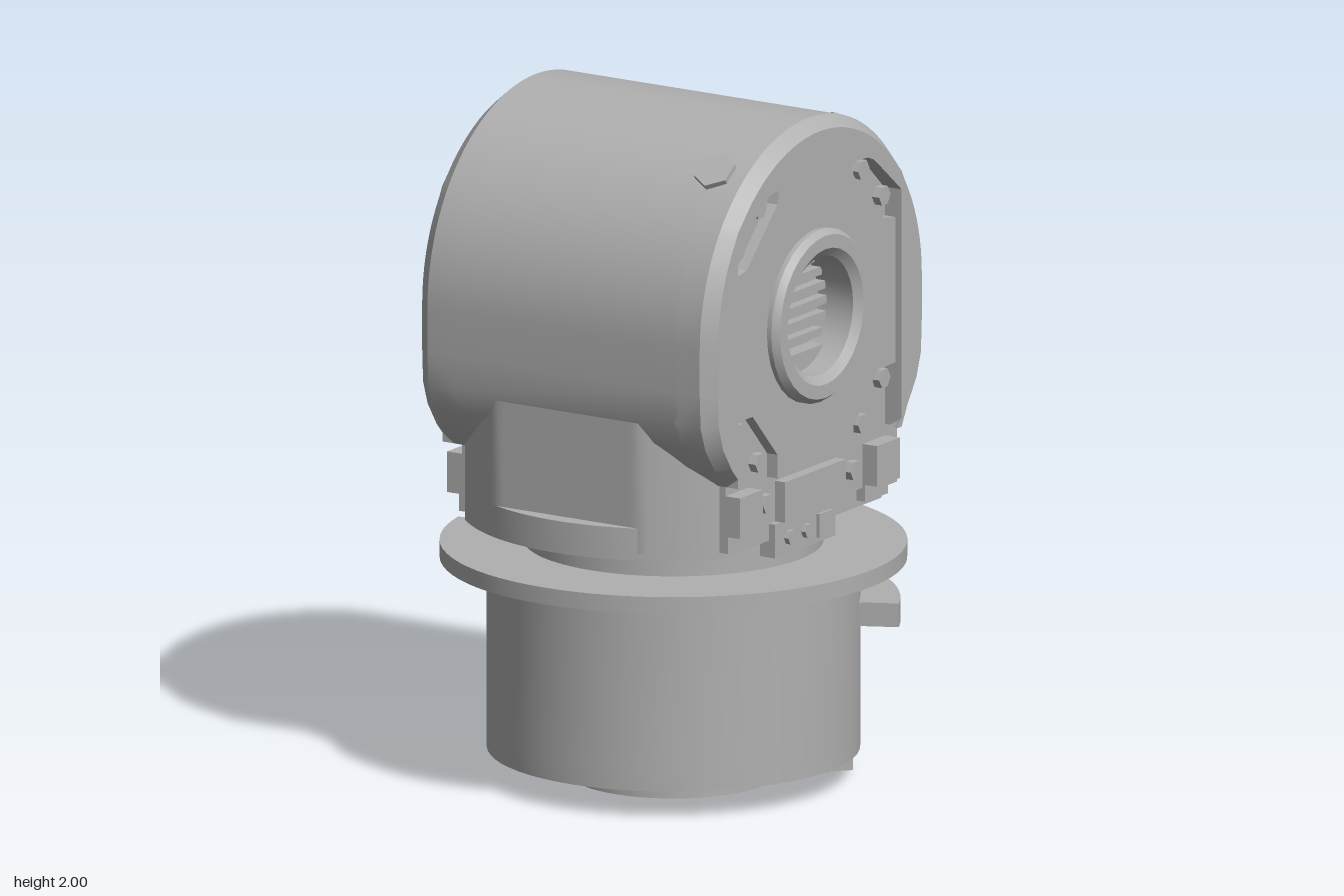
import * as THREE from 'three';
import { toCreasedNormals } from 'three/addons/utils/BufferGeometryUtils.js';

const grey = new THREE.MeshStandardMaterial({ color: 0xb0b0b0, side: THREE.DoubleSide });
grey.name = 'machined grey';
const AXIS = 1.43, BORE = 1.42;

export function createModel() {
  const model = new THREE.Group();
  model.name = 'rotaryJoint';

  const add = (name, geo, parent = model) => {
    const m = new THREE.Mesh(toCreasedNormals(geo, 0.5), grey);
    m.name = name;
    parent.add(m);
    return m;
  };
  const poly = pts => new THREE.Shape(pts.map(p => new THREE.Vector2(p[0], p[1])));
  const disc = (u, v, r) => new THREE.Path().absarc(u, v, r, 0, Math.PI * 2, true);
  const extrude = (shape, depth) =>
    new THREE.ExtrudeGeometry(shape, { depth, bevelEnabled: false, curveSegments: 32 });
  // side profiles use (-z, y); plans use (x, -z)
  const alongX = (shape, x0, x1) => extrude(shape, x1 - x0).rotateY(Math.PI / 2).translate(x0, 0, 0);
  const alongY = (shape, y0, y1) => extrude(shape, y1 - y0).rotateX(-Math.PI / 2).translate(0, y0, 0);
  const box = (x0, x1, y0, y1, z0, z1) =>
    new THREE.BoxGeometry(x1 - x0, y1 - y0, z1 - z0).translate((x0 + x1) / 2, (y0 + y1) / 2, (z0 + z1) / 2);
  const cyl = (r, y0, y1, n = 64) => new THREE.CylinderGeometry(r, r, y1 - y0, n).translate(0, (y0 + y1) / 2, 0);
  const rad = THREE.MathUtils.degToRad;
  const sector = (r0, r1, a0, a1) => {
    const s = new THREE.Shape();
    s.absarc(0, 0, r1, rad(a0), rad(a1), false);
    s.absarc(0, 0, r0, rad(a1), rad(a0), true);
    return s;
  };
  // surface through rows of points
  const loft = rows => {
    const n = rows[0].length, index = [];
    for (let i = 0; i < rows.length - 1; i++)
      for (let j = 0; j < n - 1; j++) {
        const a = i * n + j, b = a + n;
        index.push(a, b, a + 1, b, b + 1, a + 1);
      }
    const g = new THREE.BufferGeometry();
    g.setAttribute('position', new THREE.Float32BufferAttribute(rows.flat(2), 3));
    g.setIndex(index);
    return g;
  };

  // base drum with screw holes and a groove round the boss
  const drum = new THREE.Shape().absarc(0, 0, 0.535, 0, Math.PI * 2, false);
  drum.holes.push(disc(0, 0, 0.345));
  for (const a of [45, 135, 225, 315])
    for (const d of [-8, 8])
      drum.holes.push(disc(0.47 * Math.cos(rad(a + d)), 0.47 * Math.sin(rad(a + d)), 0.025));
  add('baseDrumEnd', alongY(drum, 0.08, 0.14));
  add('baseDrum', cyl(0.535, 0.13, 0.66));
  const boss = new THREE.Shape().absarc(0, 0, 0.3, 0, Math.PI * 2, false);
  boss.holes.push(disc(0, 0, 0.27));
  add('bossRing', alongY(boss, 0, 0.14));
  const plate = new THREE.Shape().absarc(0, 0, 0.27, 0, Math.PI * 2, false);
  for (let i = 0; i < 6; i++) {
    const a = rad(i * 60 + 20);
    plate.holes.push(disc(0.2 * Math.cos(a), 0.2 * Math.sin(a), i % 2 ? 0.02 : 0.035));
  }
  add('bossPlate', alongY(plate, 0.01, 0.12));
  const plug = new THREE.Group();
  plug.name = 'basePlug';
  add('plugBody', box(-0.07, 0.07, 0.01, 0.1, -0.11, 0.11), plug);
  for (const z of [-0.06, 0.06])
    add('plugScrew', cyl(0.025, 0, 0.02, 6).translate(0, 0, z), plug);
  plug.position.set(0.31, 0, -0.3);
  plug.rotation.y = Math.PI / 4;
  model.add(plug);

  // flange, guide rail and broken cable clip
  add('flange', alongY(sector(0.42, 0.67, 190, 488), 0.64, 0.69));
  add('drumTop', cyl(0.535, 0.64, 0.688));
  add('guideRail', alongY(sector(0.52, 0.65, 26, 126), 0.45, 0.52));
  add('railTab', box(-0.08, 0.08, 0.55, 0.65, -0.55, -0.5));
  for (const [a0, a1, lift] of [[146, 158, 0.02], [161, 180, 0.07]]) {
    const rows = [];
    for (let i = 0; i <= 8; i++) {
      const t = i / 8, a = rad(a0 + (a1 - a0) * t), c = Math.cos(a), s = -Math.sin(a);
      const h = 0.49 + lift * Math.sin(t * Math.PI), ri = 0.52, ro = 0.66 - 0.03 * Math.sin(t * Math.PI);
      rows.push([[ri, 0.45], [ro, 0.45], [ro, 0.49], [ri, h], [ri, 0.45]].map(([r, y]) => [r * c, y, r * s]));
    }
    add('cableClip', loft(rows));
  }

  // neck and lower body, a round column with flat sides
  add('neck', cyl(0.43, 0.68, 0.85));
  const column = (r, zFront, zBack) => {
    const pts = [];
    for (let i = 0; i <= 32; i++) {
      const x = 0.43 - 0.86 * i / 32;
      pts.push([x, Math.min(Math.sqrt(r * r - x * x), zBack)]);
    }
    for (let i = 0; i <= 32; i++) {
      const x = -0.43 + 0.86 * i / 32;
      pts.push([x, -Math.min(Math.sqrt(0.61 * 0.61 - x * x), zFront)]);
    }
    return poly(pts);
  };
  add('lowerBody', alongY(column(0.61, 0.56, 0.56), 0.8, 1.3));
  add('lowerSkirt', alongY(column(0.61, 0.62, 0.6), 0.78, 0.875));
  add('backShelf', alongY(column(0.67, 0.5, 0.68), 0.81, 1.0));
  const slope = [];
  for (let i = 0; i <= 24; i++) {
    const x = -0.36 + 0.72 * i / 24, z = -Math.sqrt(0.67 * 0.67 - x * x);
    slope.push([[x, 1.0, z], [x, 1.04, Math.min(-0.55, z + 0.06)], [x, 1.04, -0.5]]);
  }
  add('shelfSlope', loft(slope));

  // arched head
  const outline = [[0.43, 1.0], [0.49, 1.06], [0.54, 1.13], [0.565, 1.2], [0.57, 1.3]];
  const half = outline.length;
  for (let i = 0; i <= 48; i++) {
    const a = Math.PI * i / 48;
    outline.push([0.57 * Math.cos(a), AXIS + 0.57 * Math.sin(a)]);
  }
  for (let i = half - 1; i >= 0; i--) outline.push([-outline[i][0], outline[i][1]]);
  add('headShell', alongX(poly(outline), -0.38, 0.38));

  // hex sockets in the crown, front and back
  for (const side of [1, -1]) {
    const socket = new THREE.Group();
    socket.name = 'hexSocket';
    add('socketRim', new THREE.CylinderGeometry(0.062, 0.062, 0.05, 6, 1), socket);
    socket.position.set(0.36, AXIS + 0.455, side * 0.325);
    socket.rotation.x = side * Math.atan2(0.34, 0.47);
    model.add(socket);
  }

  // end faces: bevelled rim, recessed panel and screws
  const pocketTop = u => 1.84 - 0.1 * u * u - Math.max(0, Math.abs(u) - 0.27) * 0.75;
  const floor = [[-0.42, 0.84], [0.42, 0.84], [0.42, 1.7], [0.29, 1.82], [0, 1.84], [-0.29, 1.82], [-0.42, 1.7]];
  const panelPts = [[0.2, 0.98], [0.2, 1.05], [0.33, 1.19], [0.42, 1.19], [0.42, 1.62], [0.36, 1.63],
    [0.2, 1.79], [0.19, 1.83], [0, 1.84]];
  for (const p of panelPts.slice(0, -1).reverse()) panelPts.push([-p[0], p[1]]);

  for (const side of [1, -1]) {
    const end = new THREE.Group();
    end.name = side > 0 ? 'leftEnd' : 'rightEnd';
    const out = side > 0 ? 0 : 0.01;
    const rows = outline.map(([u, y]) => {
      const sg = Math.sign(u), au = Math.abs(u);
      const iu = au > 0.43 ? sg * Math.max(au * 0.94, 0.43) : u * 0.94;
      const iy = y > AXIS ? AXIS + (y - AXIS) * 0.94 : y;
      const pu = sg * Math.min(au, 0.43), py = Math.min(y, pocketTop(pu));
      return [[0.37, y, u], [0.46 + out, y, u], [0.5 + out, iy, iu], [0.5 + out, py, pu], [0.37, py, pu]]
        .map(([x, b, z]) => [x * side, b, -z]);
    });
    add('endRim', loft(rows), end);

    const boreR = side > 0 ? 0.22 : 0.35;
    const slab = (name, pts, x0, x1) => {
      const s = poly(pts);
      s.holes.push(disc(0, BORE, boreR));
      add(name, side > 0 ? alongX(s, x0, x1) : alongX(s, -x1, -x0), end);
    };
    slab('pocketFloor', floor, 0.37, 0.45);
    slab('endPanel', panelPts, 0.44, 0.485);

    const sbox = (name, x0, x1, y0, y1, z0, z1) =>
      add(name, box(Math.min(x0 * side, x1 * side), Math.max(x0 * side, x1 * side), y0, y1, z0, z1), end);
    const screw = (u, y, x, r = 0.03) =>
      add('screw', cyl(r, -0.02, 0.02, 6).rotateZ(Math.PI / 2).translate(x * side, y, u), end);
    for (const m of [1, -1]) {
      for (const [u, y] of [[0.27, 1.79], [0.38, 1.69], [0.38, 1.15], [0.27, 1.04]]) screw(m * u, y, 0.455);
      screw(m * 0.23, 0.91, 0.455);
      const lo = Math.min(m * 0.3, m * 0.42), hi = Math.max(m * 0.3, m * 0.42);
      sbox('footBlock', 0.42, 0.5, 0.85, 0.97, lo, hi);
      sbox('footLug', 0.41, 0.46, 0.8, 0.85, lo, hi);
    }
    sbox('footPlate', 0.42, 0.485, 0.84, 0.96, -0.16, 0.16);

    // connector under the panel
    sbox('connector', 0.38, 0.45, 0.73, 0.83, -0.16, 0.16);
    sbox('connectorSocket', 0.44, 0.46, 0.745, 0.815, -0.13, -0.06);
    for (const z of [0, 0.09]) screw(z, 0.78, 0.445, 0.022);

    if (side > 0) {
      // raised hub ring with a slatted core
      const ring = new THREE.LatheGeometry(
        [[0.175, 0.37], [0.175, 0.5], [0.2, 0.52], [0.24, 0.52], [0.255, 0.5], [0.255, 0.47]]
          .map(p => new THREE.Vector2(...p)), 32);
      add('hubRing', ring.rotateZ(-Math.PI / 2).translate(0, BORE, 0), end);
      for (let i = -3; i <= 3; i++) {
        const w = Math.sqrt(0.175 * 0.175 - (i * 0.045) ** 2);
        sbox('hubSlat', 0.37, 0.41, BORE + i * 0.045 - 0.012, BORE + i * 0.045 + 0.012, -w, w);
      }
    } else {
      // sunken drive disc
      const d = new THREE.Shape().absarc(0, BORE, 0.325, 0, Math.PI * 2, false);
      for (let i = 0; i < 10; i++) {
        const a = i * Math.PI / 5 + 0.2;
        d.holes.push(disc(0.25 * Math.cos(a), BORE + 0.25 * Math.sin(a), i % 2 ? 0.018 : 0.035));
      }
      add('driveDisc', alongX(d, -0.42, -0.37), end);
    }
    model.add(end);
  }
  return model;
}
